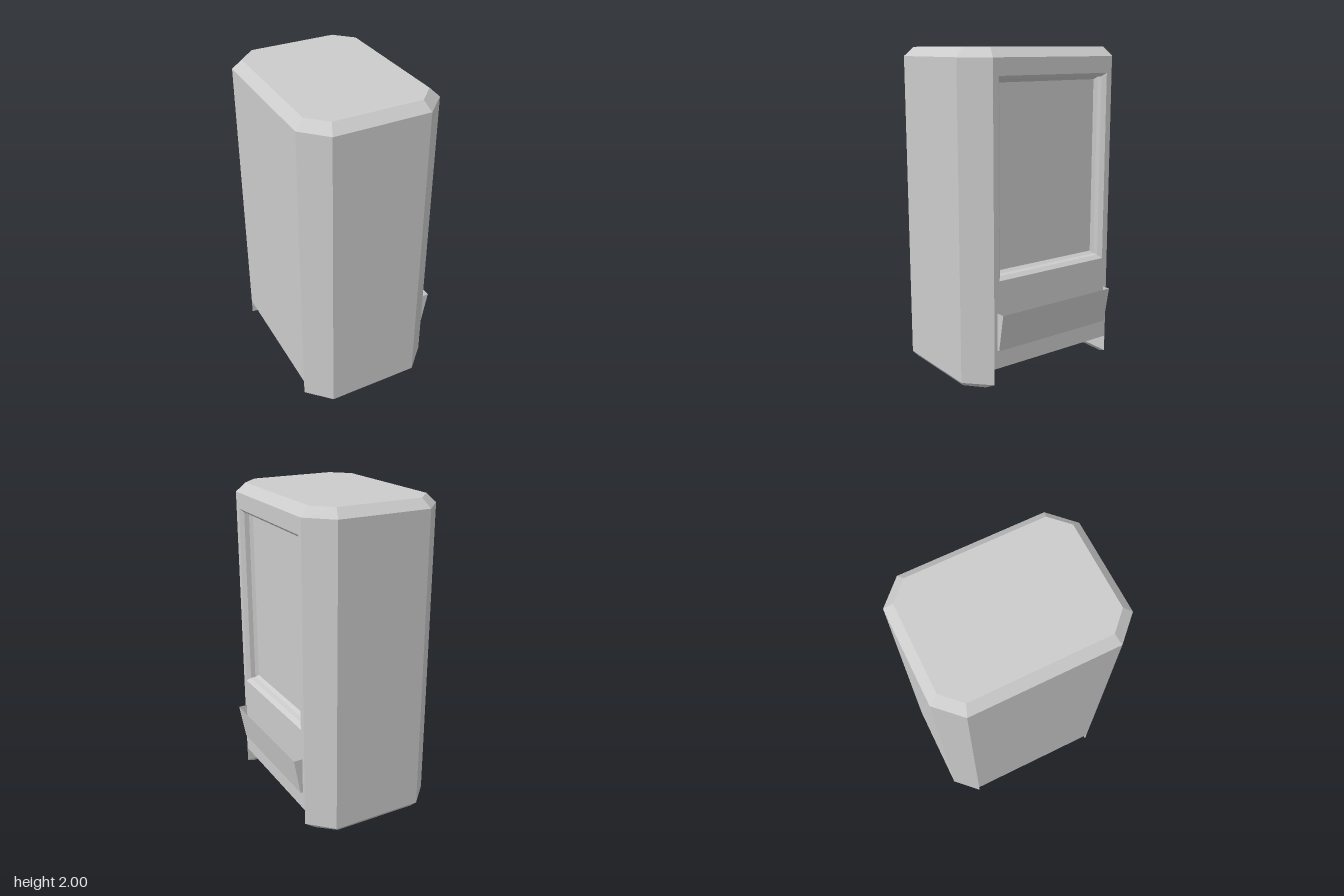
import * as THREE from 'three';

// Flat-sided loft through rings of [x, y, z] points; rings run counter-clockwise seen from the end of the axis.
function loft(rings, { capStart = false, capEnd = false, skip = () => false } = {}) {
  const pos = [];
  const tri = (a, b, c) => pos.push(...a, ...b, ...c);
  for (let r = 0; r < rings.length - 1; r++) {
    const a = rings[r], b = rings[r + 1], n = a.length;
    for (let i = 0; i < n; i++) {
      if (skip(r, i)) continue;
      const j = (i + 1) % n;
      tri(a[i], a[j], b[j]);
      tri(a[i], b[j], b[i]);
    }
  }
  const fan = (ring) => {
    for (let i = 1; i < ring.length - 1; i++) tri(ring[0], ring[i], ring[i + 1]);
  };
  if (capStart) fan([...rings[0]].reverse());
  if (capEnd) fan(rings[rings.length - 1]);
  const geo = new THREE.BufferGeometry();
  geo.setAttribute('position', new THREE.Float32BufferAttribute(pos, 3));
  geo.computeVertexNormals();
  return geo;
}

const level = (pts, y) => pts.map(([x, z]) => [x, y, z]);

// Octagonal plan: x range, half depth, and where the corner cuts begin
const octagon = (x0, x1, z, cx0, cx1, cz) => [
  [cx0, z], [cx1, z], [x1, cz], [x1, -cz], [cx1, -z], [cx0, -z], [x0, -cz], [x0, cz],
];

export function createModel() {
  const group = new THREE.Group();
  const grey = new THREE.MeshStandardMaterial({ color: 0xcccccc, flatShading: true });
  const greyThin = grey.clone();
  greyThin.side = THREE.DoubleSide;
  const add = (name, geo, mat = grey) => {
    const mesh = new THREE.Mesh(geo, mat);
    mesh.name = name;
    group.add(mesh);
    return mesh;
  };

  const WALL = 0.41, BASE = 0.13, EAVE = 1.945, CZ = 0.443;

  // Cabinet shell with bevelled roof; the window wall is made separately
  const plan = octagon(-0.47, WALL, 0.585, -0.33, 0.265, CZ);
  const roof = octagon(-0.415, 0.353, 0.53, -0.305, 0.243, 0.42);
  add('cabinet', loft([level(plan, BASE), level(plan, EAVE), level(roof, 2)], {
    capStart: true, capEnd: true, skip: (r, i) => r === 0 && i === 2,
  }));

  // Wall with a window opening
  const rect = (w, y0, y1) => [[-w, y0], [w, y0], [w, y1], [-w, y1]];
  const toVec = (pts) => pts.map(([x, y]) => new THREE.Vector2(x, y));
  const wall = new THREE.Shape(toVec(rect(CZ, BASE, EAVE)));
  wall.holes.push(new THREE.Path(toVec(rect(0.405, 0.67, 1.845))));
  // Stepped window reveal and panel: [inset, depth]
  const steps = [[0, 0], [0.021, 0.025], [0.025, 0.055], [0.04, 0.075]];
  const reveal = steps.map(([s, d]) =>
    rect(0.405 - s, 0.67 + s, 1.845 - s).map(([x, y]) => [x, y, -d]));
  for (const mesh of [
    add('windowWall', new THREE.ShapeGeometry(wall)),
    add('windowRecess', loft(reveal, { capEnd: true })),
  ]) {
    mesh.rotation.y = Math.PI / 2;
    mesh.position.x = WALL;
  }

  // Two feet running across the cabinet, bevelled underneath
  const foot = [[-0.47, CZ], [-0.33, 0.585], [0.265, 0.585], [WALL, CZ]];
  const sole = [[-0.41, 0.467], [-0.305, 0.56], [0.243, 0.56], [0.35, 0.467]];
  const mirror = (pts) => pts.map(([x, z]) => [x, -z]).reverse();
  for (const [name, f] of [['frontFoot', (p) => p], ['backFoot', mirror]]) {
    add(name, loft([level(f(sole), 0), level(f(foot), 0.03), level(f(foot), BASE)], { capStart: true }));
  }

  // Open tray that widens towards the top
  const trayPlan = (x) => [[WALL, 0.42], [x, 0.42], [x, -0.42], [WALL, -0.42]];
  add('tray', loft([level(trayPlan(0.425), 0.245), level(trayPlan(0.467), 0.477)], {
    capStart: true, skip: (r, i) => i === 3,
  }), greyThin);

  return group;
}
